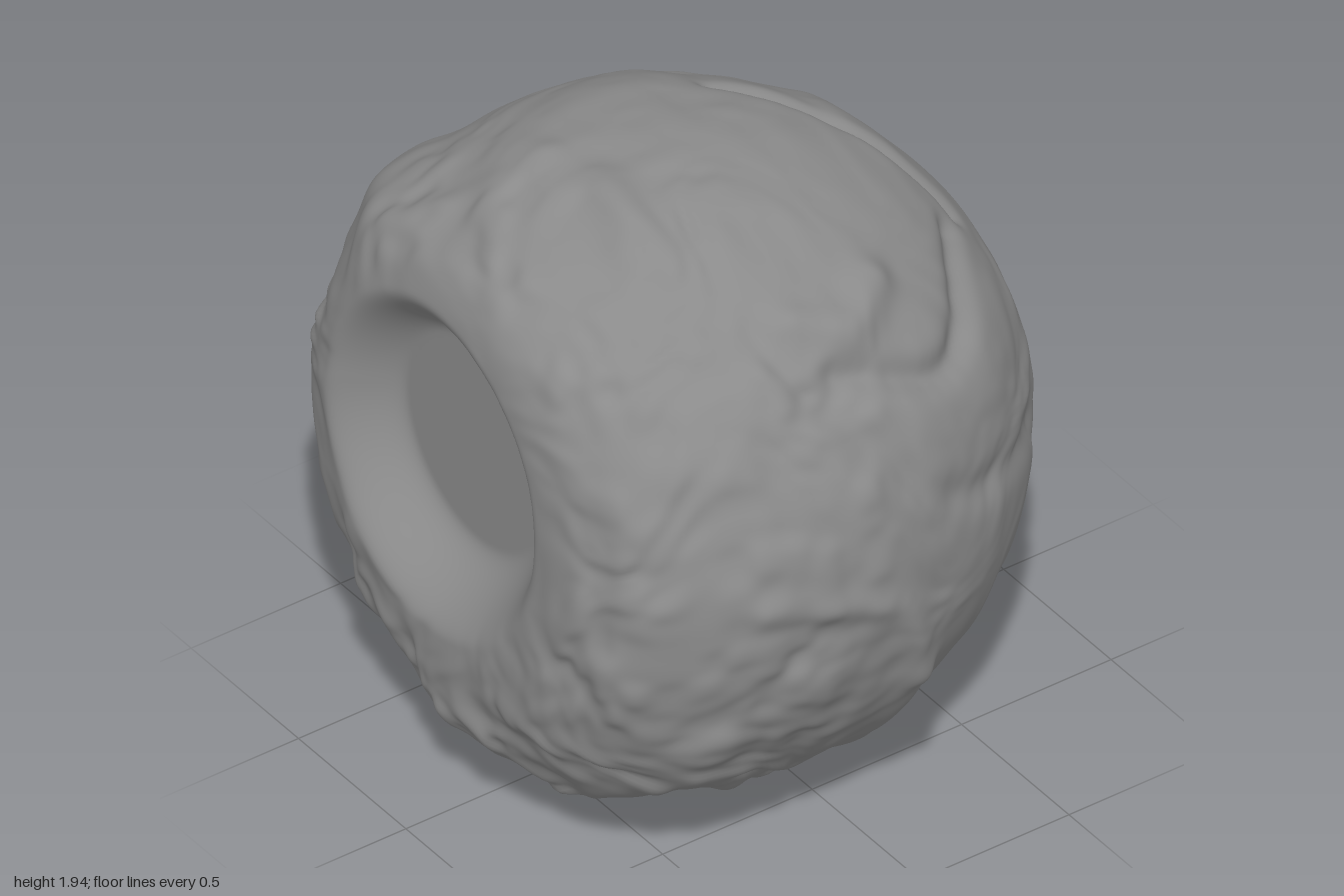
import * as THREE from 'three';
import { mergeVertices } from 'three/addons/utils/BufferGeometryUtils.js';

const { smoothstep, lerp } = THREE.MathUtils;

// Seeded value noise in three dimensions, about -1 to 1
function hash(x, y, z) {
  let n = Math.imul(x, 374761393) ^ Math.imul(y, 668265263) ^ Math.imul(z, 873307469);
  n = Math.imul(n ^ (n >>> 13), 1274126177);
  n = Math.imul(n ^ (n >>> 15), 2246822519);
  return ((n ^ (n >>> 16)) >>> 0) / 2147483648 - 1;
}
function noise(x, y, z) {
  const i = Math.floor(x), j = Math.floor(y), k = Math.floor(z);
  const fade = (t) => t * t * t * (t * (t * 6 - 15) + 10);
  const u = fade(x - i), v = fade(y - j), w = fade(z - k);
  const edge = (b, c) => lerp(hash(i, j + b, k + c), hash(i + 1, j + b, k + c), u);
  return lerp(lerp(edge(0, 0), edge(1, 0), v), lerp(edge(0, 1), edge(1, 1), v), w);
}

const centre = new THREE.Vector3(0, 0.98, 0.12);
const radius = new THREE.Vector3(0.975, 0.965, 0.99);
const pit = { x: -0.11, y: 1.11, floor: 0.69, inner: 0.32, outer: 0.5 };

// A crease or fold: height (negative cuts in), width, and start, middle and end on the surface
function fold(height, width, ...points) {
  const path = new THREE.CatmullRomCurve3(points.map((p) => new THREE.Vector3(...p)));
  const dirs = path.getPoints(14).map((p) => p.sub(centre).normalize());
  return { height, width, dirs };
}
const folds = [
  fold(-0.03, 0.035, [-0.25, 1.85, -0.2], [0, 1.8, -0.42], [0.3, 1.6, -0.68]), // top groove
  fold(-0.035, 0.05, [0.75, 1.6, 0.1], [0.79, 1.5, -0.3], [0.4, 1.62, -0.58]), // upper left groove
  fold(0.035, 0.07, [0.6, 1.75, -0.15], [0.68, 1.7, 0], [0.62, 1.72, 0.15]), // upper left lump
  fold(-0.02, 0.06, [0.78, 1.6, 0.2], [0.95, 1.2, -0.15], [0.6, 1, -0.7]), // side groove
  fold(0.022, 0.05, [0.9, 1.06, 0.45], [1, 0.92, 0.05], [0.9, 0.62, -0.06]), // side ridge
  fold(0.018, 0.06, [0.9, 0.62, -0.06], [0.65, 0.25, -0.05], [0.1, 0, 0.2]), // ridge running under
  fold(0.025, 0.09, [-0.8, 0.55, 0.6], [-0.6, 0.3, 0.62], [-0.3, 0.15, 0.6]), // lower right fold
  fold(0.025, 0.08, [0.8, 0.6, 0.55], [0.5, 0.3, 0.65], [-0.1, 0.12, 0.55]), // lower left fold
  fold(0.035, 0.1, [-0.82, 1.55, 0.4], [-0.72, 1.6, 0.6], [-0.5, 1.62, 0.76]), // upper right corner
  fold(0.03, 0.14, [-0.97, 0.88, 0.3], [-0.97, 0.78, 0.15], [-0.93, 0.72, 0]), // right side bulge
  fold(0.02, 0.07, [-0.35, 1.85, 0.45], [0, 1.9, 0.35], [0.3, 1.85, 0.45]), // brow fold
];

const line = new THREE.Line3(), near = new THREE.Vector3();
function foldHeight(d) {
  let sum = 0;
  for (const { height, width, dirs } of folds) {
    let best = Infinity;
    for (let i = 1; i < dirs.length; i++) {
      line.set(dirs[i - 1], dirs[i]).closestPointToPoint(d, true, near);
      best = Math.min(best, near.distanceToSquared(d));
    }
    sum += height * Math.exp(-best / (width * width));
  }
  return sum;
}

// Lumpy relief: calm at the back, crumpled around the front and sides
function relief({ x, y, z }) {
  const wx = noise(x * 3 + 9, y * 3, z * 3) * 0.2;
  const wy = noise(x * 3, y * 3 + 17, z * 3) * 0.2;
  const rough = smoothstep(z + 0.25 * x, -0.1, 0.5);
  const low = smoothstep(-y, 0.1, 0.6) * rough;
  const broad = noise(x * 2.2 + 3, y * 2.2, z * 2.2) * 0.01;
  const lumps = noise((x + wx) * 5, (y + wy) * 5, z * 5 + 4) * lerp(0.008, 0.016, rough);
  const fine = noise((x + wx) * 12, (y + wy) * 12, z * 12) * lerp(0.003, 0.011, rough);
  // Diagonal wrinkles below the pit
  const wrinkles = noise((x + y + wx) * 11, (x - y + wy) * 4, z * 5 + 30) * 0.016 * low;
  return broad + lumps + fine + wrinkles;
}

// Moves a point of the unit sphere onto the boulder
function shapePoint(p) {
  const d = p.clone().normalize();
  // Rounded body, slightly fuller towards the front
  const e = lerp(2, 2.12, smoothstep(d.z, -0.3, 0.5));
  const sum = Math.abs(d.x / radius.x) ** e + Math.abs(d.y / radius.y) ** e + Math.abs(d.z / radius.z) ** e;
  p.copy(d).multiplyScalar(sum ** (-1 / e)).add(centre);

  // Relief fades out towards the pit
  const dx = p.x - pit.x, dy = p.y - pit.y, r = Math.hypot(dx, dy);
  const calm = d.z > 0 ? lerp(0.1, 1, smoothstep(r, 0.45, 0.72)) : 1;

  // Flattened front face, blended softly into the sides
  const face = 0.865 - 0.04 * (p.y - 1), blend = 0.14;
  const h = Math.max(blend - Math.abs(p.z - face), 0) / blend;
  p.z = Math.min(p.z, face) - h * h * blend / 4;
  p.addScaledVector(d, (relief(d) + foldHeight(d)) * calm);

  // Round pit with a flat floor, a gentler lower wall and a shallow dish around it
  if (d.z > 0) {
    const outer = pit.outer + 0.04 * Math.max(-dy / (r + 1e-6), 0);
    p.z -= 0.025 * Math.exp(-r * r / 0.25);
    p.z = lerp(pit.floor, p.z, smoothstep(r, pit.inner, outer));
  }
}

export function createModel() {
  let geometry = new THREE.IcosahedronGeometry(1, 78);
  geometry.deleteAttribute('normal');
  geometry.deleteAttribute('uv');
  geometry = mergeVertices(geometry, 1e-5);

  const pos = geometry.attributes.position, p = new THREE.Vector3();
  for (let i = 0; i < pos.count; i++) {
    p.fromBufferAttribute(pos, i);
    shapePoint(p);
    pos.setXYZ(i, p.x, p.y, p.z);
  }
  geometry.computeVertexNormals();

  // Stand it on the ground, centred
  geometry.computeBoundingBox();
  const mid = geometry.boundingBox.getCenter(new THREE.Vector3());
  geometry.translate(-mid.x, -geometry.boundingBox.min.y, -mid.z);

  const boulder = new THREE.Mesh(geometry, new THREE.MeshStandardMaterial({ color: 0x8a8a8a }));
  boulder.name = 'pittedBoulder';
  const group = new THREE.Group();
  group.name = 'boulder';
  group.add(boulder);
  return group;
}
